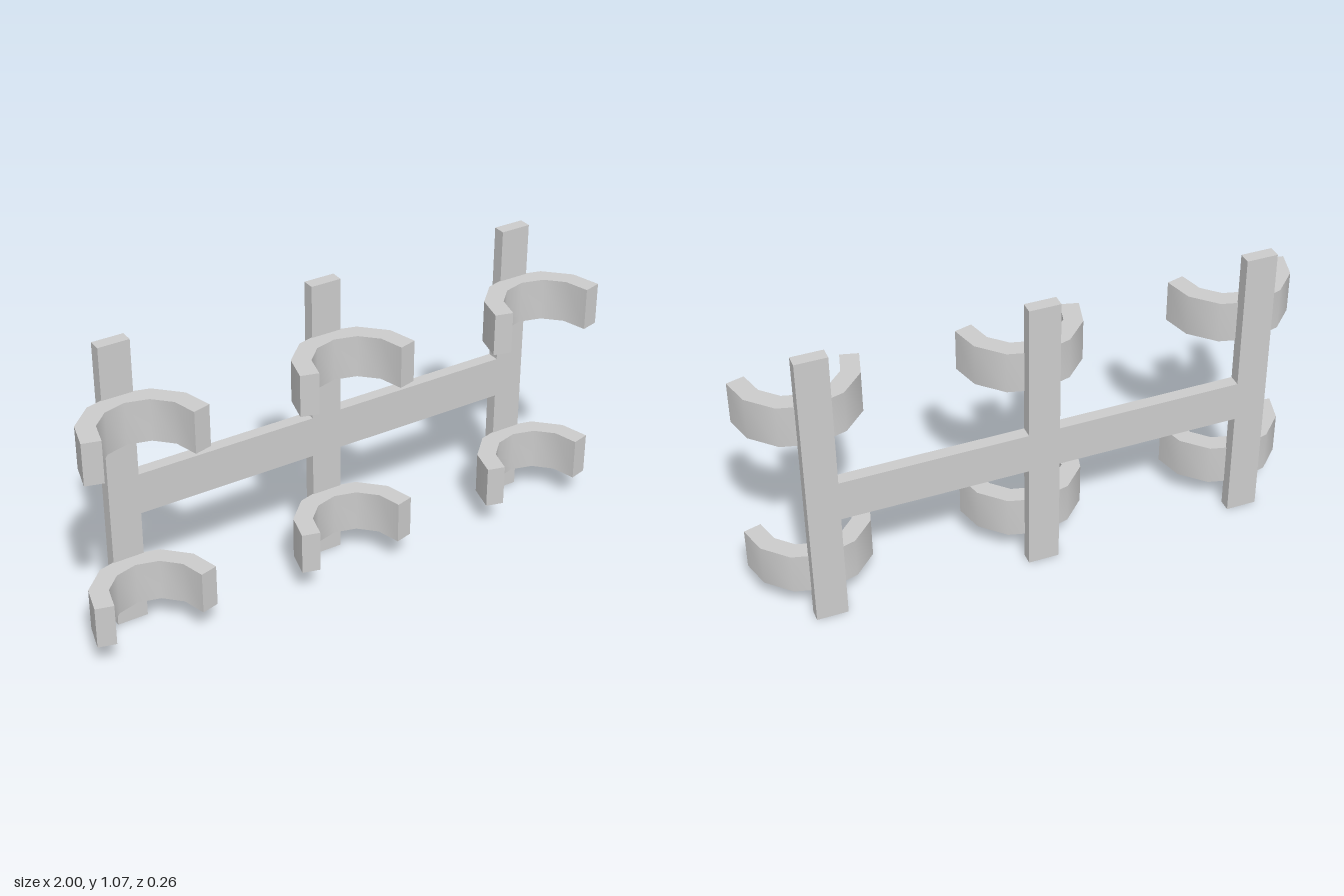
import * as THREE from 'three';
import { toCreasedNormals } from 'three/addons/utils/BufferGeometryUtils.js';

const material = new THREE.MeshStandardMaterial({ color: 0xcccccc });
const SPACING = 0.777;
const POST = { width: 0.112, height: 1.07, depth: 0.045, z: -0.1075 };
const CLIP = { radius: 0.191, half: 0.0325, height: 0.154, z: 0.121, segments: 6 };

function box(name, w, h, d, x, y, z) {
  const mesh = new THREE.Mesh(new THREE.BoxGeometry(w, h, d), material);
  mesh.name = name;
  mesh.position.set(x, y, z);
  return mesh;
}

// Half-ring of six straight mitred segments, ends cut square to the last segment
function clipGeometry() {
  const { radius, half, height, z, segments } = CLIP;
  const step = Math.PI / segments;
  const side = (sign) => {
    const points = [];
    for (let i = 0; i <= segments; i++) {
      const a = i * step;
      if (i === 0 || i === segments) {
        const dir = i === 0 ? 1 : -1;
        points.push(new THREE.Vector2(
          dir * (radius + sign * half * Math.cos(step / 2)),
          z - sign * half * Math.sin(step / 2)));
      } else {
        const r = radius + sign * half / Math.cos(step / 2);
        points.push(new THREE.Vector2(r * Math.cos(a), z - r * Math.sin(a)));
      }
    }
    return points;
  };
  const shape = new THREE.Shape([...side(1), ...side(-1).reverse()]);
  const geometry = new THREE.ExtrudeGeometry(shape, { depth: height, bevelEnabled: false });
  geometry.translate(0, 0, -height / 2);
  geometry.rotateX(Math.PI / 2);
  return toCreasedNormals(geometry, 0.7);
}

export function createModel() {
  const model = new THREE.Group();
  model.name = 'clipRack';
  const clip = clipGeometry();

  // Upright posts, each with a lower and an upper clip
  for (const [i, label] of ['right', 'middle', 'left'].entries()) {
    const x = (i - 1) * SPACING;
    model.add(box(label + 'Post', POST.width, POST.height, POST.depth, x, POST.height / 2, POST.z));
    for (const [level, y] of [['Lower', 0.179], ['Upper', 0.803]]) {
      const mesh = new THREE.Mesh(clip, material);
      mesh.name = label + level + 'Clip';
      mesh.position.set(x, y, 0);
      model.add(mesh);
    }
  }

  // Crossbars between neighbouring posts
  for (const s of [-1, 1]) {
    model.add(box(s < 0 ? 'rightCrossbar' : 'leftCrossbar',
      SPACING - POST.width, 0.152, POST.depth, s * SPACING / 2, 0.491, POST.z));
  }
  return model;
}
